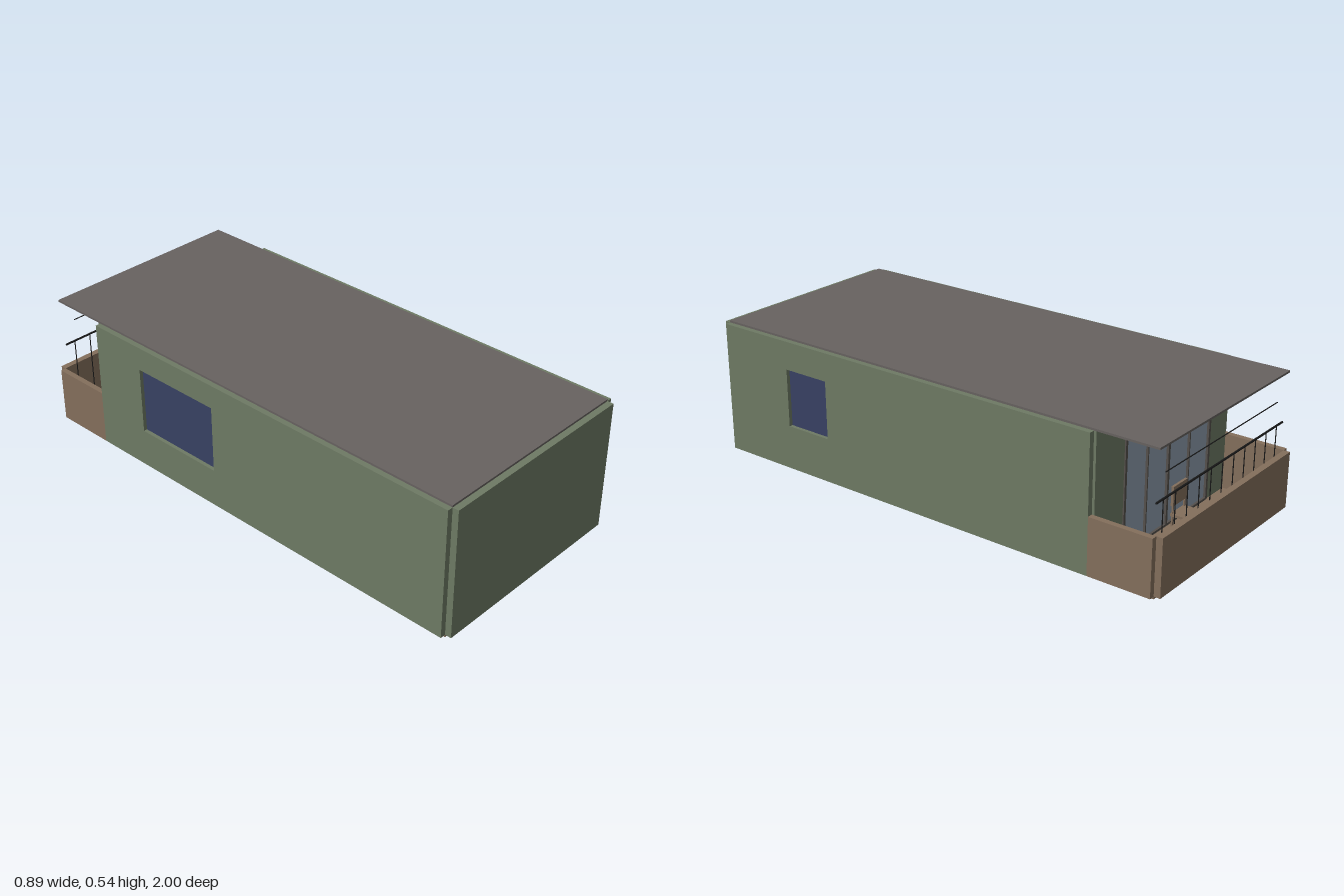
import * as THREE from 'three';

const paint = (name, color) => {
  const m = new THREE.MeshStandardMaterial({ color });
  m.name = name;
  return m;
};

export function createModel() {
  const green = paint('wallGreen', 0x6e7a64);
  const brown = paint('parapetBrown', 0x846f5c);
  const grey = paint('roofGrey', 0x676260);
  const blue = paint('windowBlue', 0x384163);
  const pale = paint('doorGlass', 0x8c9cab);
  const black = paint('railBlack', 0x1a1a1a);
  const frame = paint('doorFrame', 0x55504c);

  const model = new THREE.Group();
  model.name = 'cabin';

  // Box given by its low and high limits on each axis
  const box = (name, mat, [x0, x1], [y0, y1], [z0, z1], parent = model) => {
    const mesh = new THREE.Mesh(new THREE.BoxGeometry(x1 - x0, y1 - y0, z1 - z0), mat);
    mesh.position.set((x0 + x1) / 2, (y0 + y1) / 2, (z0 + z1) / 2);
    mesh.name = name;
    parent.add(mesh);
    return mesh;
  };

  // Upright wall panel with one rectangular hole, extruded along z
  const panel = ([a0, a1], [y0, y1], [h0, h1], [k0, k1], depth) => {
    const rect = (T, l, r, b, t) => new T([[l, b], [r, b], [r, t], [l, t]].map(p => new THREE.Vector2(...p)));
    const shape = rect(THREE.Shape, a0, a1, y0, y1);
    shape.holes.push(rect(THREE.Path, h0, h1, k0, k1));
    return new THREE.ExtrudeGeometry(shape, { depth, bevelEnabled: false });
  };

  const X = 0.425, XO = 0.447, WALL = [0.01, 0.53], LOW = [0.01, 0.23];
  const BACK = -0.735, SIDE_END = -0.725;

  // Slabs and front wall
  box('floor', brown, [-X, X], [0, 0.01], [-0.975, 0.975]);
  box('roof', grey, [-X, X], [0.53, 0.538], [-0.975, 0.975]);
  box('frontWall', green, [-X, X], WALL, [0.975, 1]);

  // Side walls, each with a recessed window
  const windows = [
    { name: 'right', s: 1, z: [0.455, 0.655], y: [0.187, 0.418] },
    { name: 'left', s: -1, z: [-0.485, -0.1], y: [0.165, 0.435] },
  ];
  for (const { name, s, z, y } of windows) {
    const geo = panel([-0.975, -SIDE_END], WALL, [-z[1], -z[0]], y, XO - X).rotateY(Math.PI / 2);
    const wall = new THREE.Mesh(geo, green);
    wall.position.x = s > 0 ? X : -XO;
    wall.name = name + 'Wall';
    model.add(wall);
    const pane = s > 0 ? [0.426, 0.432] : [-0.432, -0.426];
    box(name + 'Window', blue, pane, y, z);
    // Parapet beside the balcony
    box(name + 'Parapet', brown, s > 0 ? [X, XO] : [-XO, -X], LOW, [-0.975, SIDE_END]);
  }
  box('backParapet', brown, [-X, X], LOW, [-1, -0.975]);

  // Back wall with the glazed balcony door
  const D0 = -0.305, D1 = 0.255, DT = 0.45;
  const backWall = new THREE.Mesh(panel([-X, X], WALL, [D0, D1], [0.011, DT], 0.022), green);
  backWall.position.z = BACK;
  backWall.name = 'backWall';
  model.add(backWall);
  box('doorGlass', pale, [D0, D1], [0.011, DT], [BACK + 0.004, BACK + 0.01]);
  const door = new THREE.Group();
  door.name = 'doorFrame';
  model.add(door);
  const FZ = [BACK - 0.005, BACK + 0.004];
  for (let i = 0; i <= 4; i++) {
    const x = D0 + 0.006 + (D1 - D0 - 0.012) * i / 4;
    const w = i % 2 ? 0.003 : 0.006;
    box('doorPost', frame, [x - w, x + w], [0.011, DT], FZ, door);
  }
  box('doorHead', frame, [D0, D1], [DT - 0.012, DT], FZ, door);
  box('doorSill', frame, [D0, D1], [0.011, 0.02], FZ, door);

  // Railing above the back parapet, with a thin upper wire
  const railing = new THREE.Group();
  railing.name = 'railing';
  model.add(railing);
  const rod = (name, r, length, x, y, flat) => {
    const mesh = new THREE.Mesh(new THREE.CylinderGeometry(r, r, length, 8), black);
    if (flat) mesh.rotation.z = Math.PI / 2;
    mesh.position.set(x, y, -0.964);
    mesh.name = name;
    railing.add(mesh);
  };
  rod('handrail', 0.004, 0.835, 0, 0.34, true);
  rod('upperWire', 0.002, 0.735, 0, 0.432, true);
  for (let i = -5; i <= 5; i++) rod('railPost', 0.002, 0.33, i * 0.075, 0.175, false);

  // Small balcony chair
  const chair = new THREE.Group();
  chair.name = 'chair';
  model.add(chair);
  box('chairSeat', brown, [-0.055, 0.035], [0.09, 0.1], [-0.87, -0.79], chair);
  box('chairBack', brown, [-0.055, 0.035], [0.13, 0.205], [-0.8, -0.79], chair);
  for (const x of [-0.052, 0.026]) {
    box('chairLeg', brown, [x, x + 0.006], [0.01, 0.09], [-0.868, -0.862], chair);
    box('chairLeg', brown, [x, x + 0.006], [0.01, 0.14], [-0.798, -0.792], chair);
  }
  return model;
}
